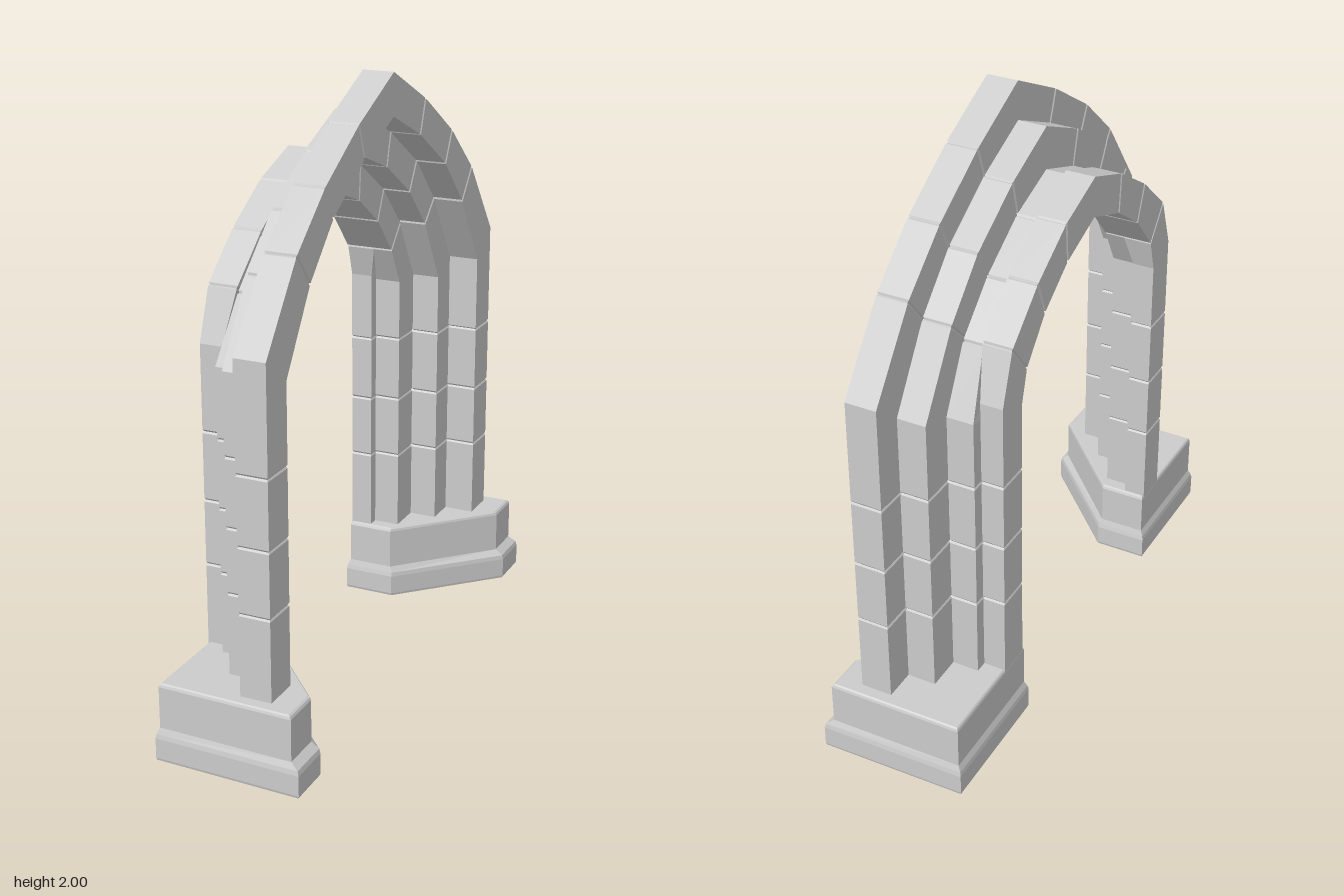
import * as THREE from 'three';

// Skin a list of equal-length rings (counter-clockwise seen from the far end)
function loft(rings, capEnd = false) {
  const pos = [];
  const tri = (...pts) => pts.forEach((p) => pos.push(p.x, p.y, p.z));
  for (let i = 0; i < rings.length - 1; i++) {
    const a = rings[i], b = rings[i + 1], n = a.length;
    for (let j = 0; j < n; j++) {
      const k = (j + 1) % n;
      tri(a[j], a[k], b[k]);
      tri(a[j], b[k], b[j]);
    }
  }
  if (capEnd) {
    const r = rings[rings.length - 1];
    for (let j = 1; j < r.length - 1; j++) tri(r[0], r[j], r[j + 1]);
  }
  const g = new THREE.BufferGeometry();
  g.setAttribute('position', new THREE.Float32BufferAttribute(pos, 3));
  g.computeVertexNormals();
  return g;
}

const GROOVE = 0.006;

// Shrink a four-cornered ring toward its middle
function pinch(ring) {
  const c = new THREE.Vector3();
  ring.forEach((p) => c.addScaledVector(p, 1 / ring.length));
  return ring.map((p) => p.clone().add(c.clone().sub(p).setLength(GROOVE)));
}

// Ring a short way from one ring toward another
function step(from, to) {
  const d = from[0].distanceTo(to[0]);
  return from.map((p, i) => p.clone().lerp(to[i], GROOVE / d));
}

// One order of the arch: legs, springing stones and voussoirs with grooved joints.
// outer and inner hold [z, y] at the springing, three joints and the apex.
function archOrder({ x0, x1, outer, inner }) {
  const section = (o, i, arch) => {
    const a = x0[arch], b = x1[arch];
    return [[a, o], [b, o], [b, i], [a, i]].map(([x, p]) => new THREE.Vector3(x, p[1], p[0]));
  };
  const stations = [];
  for (const y of [0.25, 0.53, 0.745, 0.97]) {
    stations.push({ ring: section([outer[0][0], y], [inner[0][0], y], 0), joint: y > 0.3 });
  }
  outer.forEach((o, k) => {
    stations.push({ ring: section(o, inner[k], k > 0 ? 1 : 0), joint: k > 0 && k < 4 });
  });
  // mirror the half path across the apex
  const mirrored = stations.slice(0, -1).reverse().map(({ ring, joint }) => ({
    ring: ring.map((p) => new THREE.Vector3(p.x, p.y, -p.z)), joint,
  }));
  const all = [...stations, ...mirrored];
  const rings = [];
  all.forEach(({ ring, joint }, i) => {
    if (joint) rings.push(step(ring, all[i - 1].ring), pinch(ring), step(ring, all[i + 1].ring));
    else rings.push(ring);
  });
  return loft(rings);
}

// Hollow plinth with a splayed inner corner and a stepped foot
function plinth(side) {
  const foot = [[-0.25, 0.905], [0.245, 0.915], [0.245, 0.77], [-0.07, 0.45], [-0.25, 0.45]];
  const block = [[-0.238, 0.895], [0.215, 0.902], [0.215, 0.77], [-0.08, 0.46], [-0.238, 0.46]];
  const ring = (poly, y, s = 1) => {
    const r = poly.map(([x, z]) =>
      new THREE.Vector3(-0.06 + (x + 0.06) * s, y, side * (0.7 + (z - 0.7) * s)));
    return side > 0 ? r : r.reverse();
  };
  return loft([
    ring(foot, 0, 0.99), ring(foot, 0.008), ring(foot, 0.075), ring(foot, 0.09, 0.985),
    ring(block, 0.11), ring(block, 0.248), ring(block, 0.256, 0.985), ring(block, 0.26, 0.96),
  ], true);
}

export function createModel() {
  const group = new THREE.Group();
  const stone = new THREE.MeshStandardMaterial({ color: 0xcccccc, flatShading: true, side: THREE.DoubleSide });
  const add = (name, geometry) => {
    const mesh = new THREE.Mesh(geometry, stone);
    mesh.name = name;
    group.add(mesh);
  };

  // Four stepped orders, from the widest to the narrowest; x is [leg, arch]
  const innerArch = [[0.44, 1.31], [0.325, 1.44], [0.18, 1.54], [0, 1.607]];
  const orders = {
    outerOrder: {
      x0: [0.023, 0.023], x1: [0.128, 0.128],
      outer: [[0.857, 1.32], [0.663, 1.578], [0.478, 1.738], [0.25, 1.88], [0, 2]],
      inner: [[0.735, 1.23], [0.58, 1.475], [0.425, 1.635], [0.21, 1.77], [0, 1.862]],
    },
    secondOrder: {
      x0: [-0.073, -0.073], x1: [0.023, 0.023],
      outer: [[0.75, 1.235], [0.59, 1.485], [0.43, 1.645], [0.215, 1.778], [0, 1.872]],
      inner: [[0.63, 1.178], [0.505, 1.4], [0.37, 1.54], [0.185, 1.66], [0, 1.728]],
    },
    thirdOrder: {
      x0: [-0.163, -0.14], x1: [-0.073, -0.073],
      outer: [[0.632, 1.2], [0.525, 1.405], [0.375, 1.545], [0.19, 1.662], [0, 1.73]],
      inner: [[0.51, 1.18], ...innerArch],
    },
    innerOrder: {
      x0: [-0.238, -0.238], x1: [-0.163, -0.14],
      outer: [[0.59, 1.25], [0.53, 1.42], [0.372, 1.558], [0.19, 1.672], [0, 1.742]],
      inner: [[0.472, 1.2], ...innerArch],
    },
  };
  for (const [name, spec] of Object.entries(orders)) add(name, archOrder(spec));

  // Plinths under both legs
  add('frontPlinth', plinth(1));
  add('backPlinth', plinth(-1));
  return group;
}
